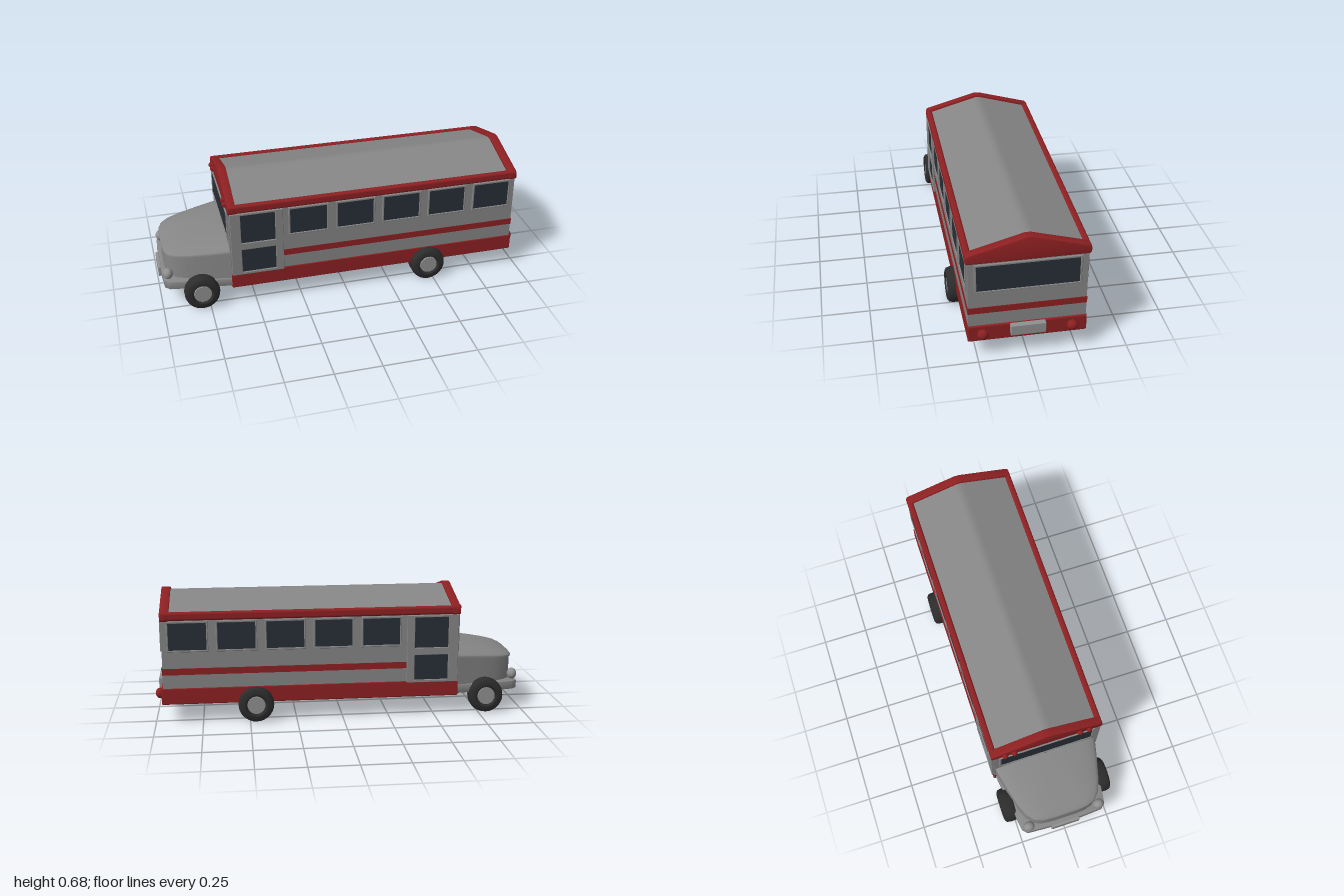
import * as THREE from 'three';
import { RoundedBoxGeometry } from 'three/addons/geometries/RoundedBoxGeometry.js';
import { toCreasedNormals } from 'three/addons/utils/BufferGeometryUtils.js';

const mat = (color) => new THREE.MeshStandardMaterial({ color });

export function createModel() {
  const bus = new THREE.Group();
  bus.name = 'bus';
  const grey = mat(0x868686), trim = mat(0x909090), red = mat(0x8e2022);
  const glass = mat(0x282f37), rubber = mat(0x2c2c2c);

  const add = (name, geometry, material, parent = bus) => {
    const mesh = new THREE.Mesh(geometry, material);
    mesh.name = name;
    parent.add(mesh);
    return mesh;
  };
  // Box given by its limits, rounded when r > 0
  const box = (name, material, [x0, x1], [y0, y1], [z0, z1], r = 0, parent = bus) => {
    const s = [x1 - x0, y1 - y0, z1 - z0];
    const g = r ? new RoundedBoxGeometry(...s, 2, r) : new THREE.BoxGeometry(...s);
    const m = add(name, g, material, parent);
    m.position.set((x0 + x1) / 2, (y0 + y1) / 2, (z0 + z1) / 2);
    return m;
  };
  const points = (list) => list.map(([a, b]) => new THREE.Vector2(a, b));
  // Symmetric outline from its right half
  const mirrored = (half) => [...half, ...half.map(([a, b]) => [-a, b]).reverse()];

  // Main body, skirt and stripe
  box('body', grey, [-0.63, 0.955], [0.12, 0.58], [-0.293, 0.293]);
  box('skirt', red, [-0.63, 0.965], [0.103, 0.192], [-0.297, 0.297], 0.006);
  box('stripe', red, [-0.345, 0.958], [0.265, 0.3], [-0.295, 0.295]);

  // Pitched roof, rails and end gables, all running along x
  const alongX = (name, half, x0, x1, material, bevel = 0) => {
    const g = new THREE.ExtrudeGeometry(new THREE.Shape(points(mirrored(half))), {
      depth: x1 - x0 - 2 * bevel, bevelEnabled: bevel > 0, bevelSize: bevel,
      bevelOffset: -bevel, bevelThickness: bevel, bevelSegments: 2,
    });
    g.rotateY(Math.PI / 2).translate(x0 + bevel, 0, 0);
    return add(name, toCreasedNormals(g, 0.5), material);
  };
  alongX('roof', [[0.29, 0.565], [0.29, 0.59], [0.03, 0.664], [0.012, 0.669]], -0.6, 0.93, grey);
  const gable = [[0.297, 0.556], [0.305, 0.564], [0.305, 0.588], [0.295, 0.602], [0.018, 0.68], [0.008, 0.681]];
  alongX('frontGable', gable, -0.634, -0.59, red, 0.004);
  alongX('rearGable', gable, 0.912, 0.96, red, 0.004);
  for (const s of [1, -1]) {
    const rail = box('roofRail', red, [-0.634, 0.96], [0.558, 0.603], [-0.0165, 0.0165], 0.012);
    rail.position.z = s * 0.288;
  }

  // Framed panes on a wall: outer rectangle with rectangular glass openings
  const rect = (Type, [x0, x1], [y0, y1]) =>
    new Type(points([[x0, y0], [x1, y0], [x1, y1], [x0, y1]]));
  const pane = (name, wall, xs, ys, openings, depth) => {
    const shape = rect(THREE.Shape, xs, ys);
    const g = new THREE.Group();
    g.name = name;
    wall.add(g);
    for (const [ox, oy] of openings) {
      shape.holes.push(rect(THREE.Path, ox, oy));
      box(name + 'Glass', glass, ox, oy, [-0.004, 0.005], 0, g);
    }
    add(name + 'Frame', new THREE.ExtrudeGeometry(shape, {
      depth: depth - 0.002, bevelThickness: 0.002, bevelSize: 0.002, bevelOffset: -0.002, bevelSegments: 1,
    }), grey, g);
  };
  const wall = (name, x, z, angle) => {
    const g = new THREE.Group();
    g.name = name;
    g.position.set(x, 0, z);
    g.rotation.y = angle;
    bus.add(g);
    return g;
  };
  // Side walls: door and five windows each
  for (const s of [1, -1]) {
    const side = wall('sideWall', 0, s * 0.293, s > 0 ? 0 : Math.PI);
    const span = (a, b) => (s > 0 ? [a, b] : [-b, -a]);
    for (let i = 0; i < 5; i++) {
      const c = -0.207 + i * 0.2567;
      pane('sideWindow', side, span(c - 0.108, c + 0.108), [0.39, 0.556],
        [[span(c - 0.099, c + 0.099), [0.4, 0.545]]], 0.01);
    }
    const dx = span(-0.57, -0.387);
    pane('door', side, span(-0.625, -0.345), [0.185, 0.557],
      [[dx, [0.378, 0.545]], [dx, [0.2, 0.338]]], 0.012);
  }
  // Windscreen and rear window
  for (const [name, x, angle] of [['windscreen', -0.63, -Math.PI / 2], ['rearWindow', 0.955, Math.PI / 2]]) {
    pane(name, wall(name + 'Wall', x, 0, angle), [-0.263, 0.263], [0.388, 0.551],
      [[[-0.252, 0.252], [0.399, 0.54]]], 0.009);
  }

  // Bonnet: plan outline lofted upward, then drawn in to a low crown
  const halfPlan = [[-0.63, 0.285], [-0.75, 0.257], [-0.85, 0.23], [-0.91, 0.205],
    [-0.95, 0.17], [-0.966, 0.125], [-0.971, 0.06]];
  const plan = [...halfPlan, ...halfPlan.map(([x, z]) => [x, -z]).reverse()];
  const seam = (x) => 0.284 + 0.1 * (x + 0.97);
  const loft = (rings) => {
    const pos = [], index = [], n = plan.length;
    rings.forEach(({ scale, y }, r) => plan.forEach(([px, pz], i) => {
      const x = -0.63 + (px + 0.63) * scale;
      pos.push(x, y(x), pz * scale);
      if (r && i) {
        const a = (r - 1) * n + i - 1, b = a + n;
        index.push(a, b, a + 1, a + 1, b, b + 1);
      }
    }));
    const g = new THREE.BufferGeometry();
    g.setAttribute('position', new THREE.Float32BufferAttribute(pos, 3));
    g.setIndex(index);
    return toCreasedNormals(g, 0.7);
  };
  const shell = grey.clone();
  shell.side = THREE.DoubleSide;
  add('bonnetSides', loft([{ scale: 0.985, y: () => 0.13 }, { scale: 0.98, y: seam }]), shell);
  const crown = [0, 0.15, 0.35, 0.6, 0.85, 1.1, 1.35, 1.55].map((t) => ({
    scale: Math.cos(t), y: (x) => seam(x) + 0.037 * Math.sin(t),
  }));
  add('bonnetLid', loft([{ scale: 0.97, y: (x) => seam(x) - 0.005 },
    { scale: 1, y: (x) => seam(x) - 0.005 }, ...crown]), shell);

  // Front chassis with the bumper ledge
  const ledge = [[-0.62, 0.285], [-0.8, 0.262], [-0.955, 0.238], [-0.98, 0.215], [-0.987, 0.1]];
  const chassis = new THREE.ExtrudeGeometry(
    new THREE.Shape(points([...ledge, ...ledge.map(([x, z]) => [x, -z]).reverse()])),
    { depth: 0.037, bevelThickness: 0.005, bevelSize: 0.005, bevelOffset: -0.005, bevelSegments: 2 });
  chassis.rotateX(Math.PI / 2).translate(0, 0.152, 0);
  add('frontBumper', toCreasedNormals(chassis, 0.6), grey);

  // Number plates
  box('frontPlate', trim, [-1, -0.982], [0.1, 0.158], [-0.08, 0.08], 0.004);
  box('rearPlate', trim, [0.96, 0.99], [0.133, 0.192], [-0.088, 0.088], 0.004);

  // Lamps: flattened spheres with their poles along x
  const lamp = (name, material, x, y, z, rx, r, seg) => {
    const m = add(name, new THREE.SphereGeometry(r, seg, 8), material);
    m.position.set(x, y, z);
    m.rotation.z = Math.PI / 2;
    m.scale.y = rx / r;
  };
  for (const s of [1, -1]) {
    lamp('headlight', trim, -0.957, 0.19, s * 0.2, 0.026, 0.031, 16);
    lamp('tailLight', red, 0.975, 0.149, s * 0.223, 0.025, 0.03, 8);
    for (const z of [0.18, 0.23]) lamp('markerLight', red, -0.636, 0.583, s * z, 0.017, 0.016, 8);
  }

  // Wheels: rounded tyre with a flat hub
  const wheel = (x, s, z0, z1) => {
    const g = new THREE.Group();
    g.name = 'wheel';
    g.position.set(x, 0.095, s * z0);
    g.rotation.x = (s * Math.PI) / 2;
    bus.add(g);
    const w = z1 - z0;
    const tyre = new THREE.LatheGeometry(points([[0, 0], [0.085, 0], [0.093, 0.005], [0.095, 0.015],
      [0.095, w - 0.025], [0.09, w - 0.008], [0.078, w], [0.058, w], [0.052, w - 0.012], [0, w - 0.012]]), 28);
    add('tyre', toCreasedNormals(tyre, 0.6), rubber, g);
    const hub = add('hub', new THREE.CylinderGeometry(0.047, 0.05, 0.02, 24), trim, g);
    hub.position.y = w - 0.015;
  };
  for (const s of [1, -1]) {
    wheel(-0.79, s, 0.24, 0.31);
    wheel(0.467, s, 0.24, 0.339);
  }
  return bus;
}
